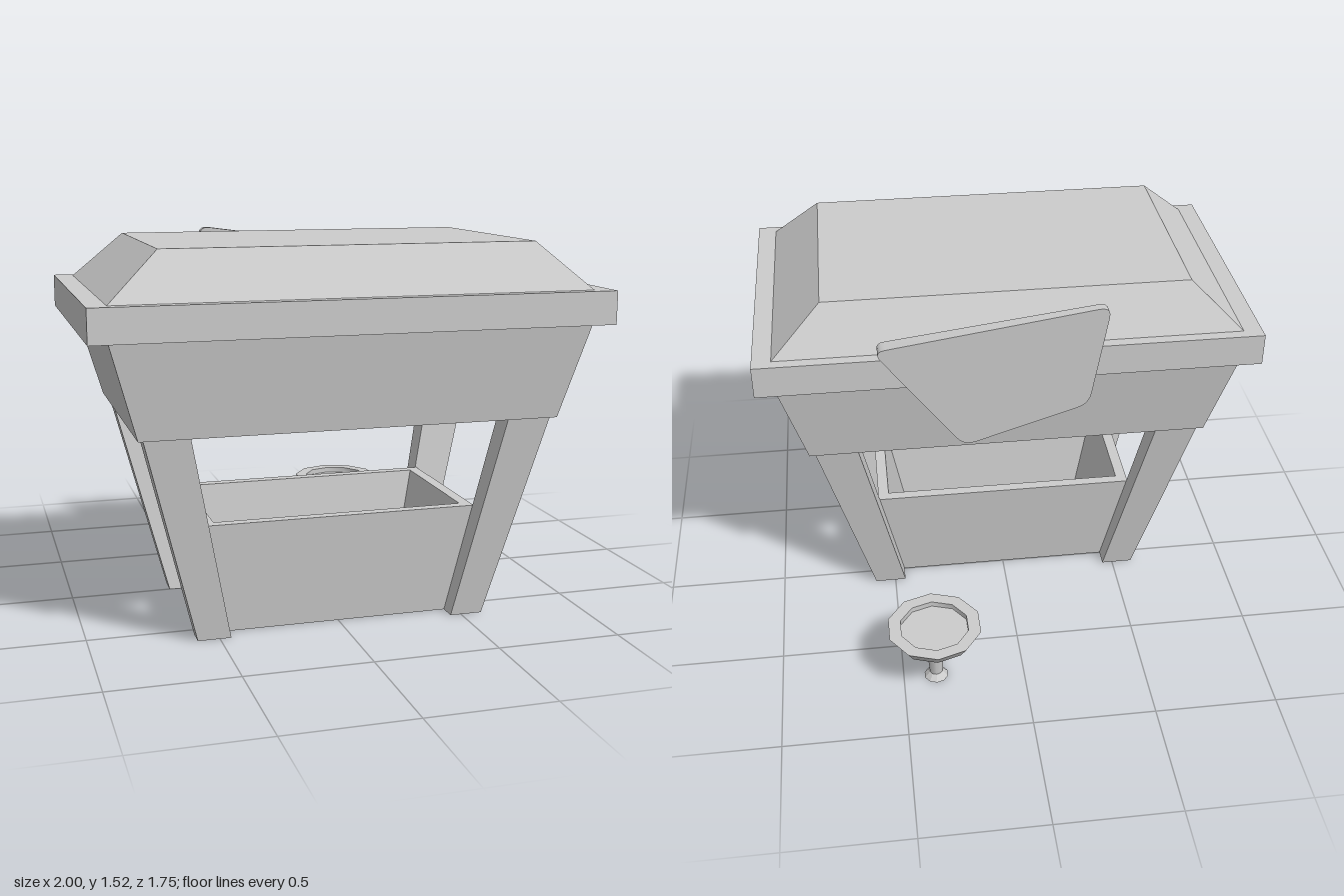
import * as THREE from 'three';
import { toCreasedNormals } from 'three/addons/utils/BufferGeometryUtils.js';

const CENTER_Z = 0.275;
const mat = new THREE.MeshStandardMaterial({ color: 0xcccccc, flatShading: true });
const smooth = new THREE.MeshStandardMaterial({ color: 0xcccccc });

function add(parent, name, geometry, material = mat) {
  const mesh = new THREE.Mesh(geometry, material);
  mesh.name = name;
  parent.add(mesh);
  return mesh;
}

// Skins rectangular sections { x0, x1, z0, z1, y }, listed so that faces point outward going up.
// closed joins the last section to the first (hollow tube); otherwise both ends are capped.
function loft(sections, closed = false) {
  const rings = sections.map(({ x0, x1, z0, z1, y }) => [
    [x0, y, z1], [x1, y, z1], [x1, y, z0], [x0, y, z0],
  ]);
  const pos = [];
  const quad = (a, b, c, d) => pos.push(...a, ...b, ...c, ...a, ...c, ...d);
  const n = rings.length;
  for (let i = 0; i < (closed ? n : n - 1); i++) {
    const lo = rings[i], hi = rings[(i + 1) % n];
    for (let k = 0; k < 4; k++) {
      const m = (k + 1) % 4;
      quad(lo[k], lo[m], hi[m], hi[k]);
    }
  }
  if (!closed) {
    const [a, b, c, d] = rings[0];
    quad(d, c, b, a);
    quad(...rings[n - 1]);
  }
  const g = new THREE.BufferGeometry();
  g.setAttribute('position', new THREE.Float32BufferAttribute(pos, 3));
  g.computeVertexNormals();
  return g;
}

// Section centred on the booth axis
const rect = (hx, hz, y) => ({ x0: -hx, x1: hx, z0: -hz, z1: hz, y });

// Rounded-corner polygon
function roundedShape(points, r) {
  const v = points.map(([x, y]) => new THREE.Vector2(x, y));
  const toward = (a, b) => a.clone().add(b.clone().sub(a).setLength(r));
  const shape = new THREE.Shape();
  v.forEach((p, i) => {
    const start = toward(p, v[(i + v.length - 1) % v.length]);
    const end = toward(p, v[(i + 1) % v.length]);
    if (i === 0) shape.moveTo(start.x, start.y);
    else shape.lineTo(start.x, start.y);
    shape.quadraticCurveTo(p.x, p.y, end.x, end.y);
  });
  shape.closePath();
  return shape;
}

export function createModel() {
  const model = new THREE.Group();
  model.name = 'marketBooth';

  const booth = new THREE.Group();
  booth.name = 'booth';
  booth.position.z = CENTER_Z;
  model.add(booth);

  // Roof: a slab frame carrying a hollow bevelled crown
  add(booth, 'roofSlab', loft([
    rect(1, 0.6, 1.2), rect(1, 0.6, 1.33), rect(0.89, 0.52, 1.33), rect(0.89, 0.52, 1.2),
  ], true));
  add(booth, 'roofCrown', loft([
    rect(0.705, 0.425, 1.5), rect(0.89, 0.52, 1.33), rect(0.925, 0.555, 1.33), rect(0.727, 0.443, 1.512),
  ]));

  // Hollow flared skirt under the roof
  add(booth, 'roofSkirt', loft([
    rect(0.82, 0.493, 0.83), rect(0.925, 0.555, 1.2),
    rect(0.895, 0.525, 1.2), rect(0.79, 0.463, 0.83),
  ], true));

  // Open counter of four leaning panels, set flush with the inner leg faces
  add(booth, 'counter', loft([
    rect(0.46, 0.274, 0), rect(0.552, 0.327, 0.45),
    rect(0.507, 0.284, 0.45), rect(0.415, 0.231, 0),
  ], true));

  // Four splayed legs, widening upward into the skirt
  for (const sx of [-1, 1]) {
    for (const sz of [-1, 1]) {
      const section = (xi, xo, zi, zo, y) => ({
        x0: Math.min(sx * xi, sx * xo), x1: Math.max(sx * xi, sx * xo),
        z0: Math.min(sz * zi, sz * zo), z1: Math.max(sz * zi, sz * zo), y,
      });
      add(booth, (sz > 0 ? 'front' : 'back') + (sx > 0 ? 'Left' : 'Right') + 'Leg', loft([
        section(0.455, 0.587, 0.272, 0.347, 0),
        section(0.7, 0.895, 0.417, 0.53, 1.2),
      ]));
    }
  }

  // Crooked sign board on the back, thickest at its pointed end
  const outline = roundedShape([[0.54, 1.4], [0.2, 0.93], [-0.3, 1.085], [-0.372, 1.525]], 0.05);
  const board = new THREE.ExtrudeGeometry(outline, { depth: 1, bevelEnabled: false, curveSegments: 5 });
  const p = board.attributes.position;
  for (let i = 0; i < p.count; i++) {
    const thick = 0.065 + 0.039 * (p.getX(i) - 0.52) + 0.051 * (p.getY(i) - 1.4);
    p.setZ(i, (p.getZ(i) - 0.5) * Math.max(thick, 0.018));
  }
  add(model, 'signBoard', toCreasedNormals(board, 0.6), smooth).position.z = -0.345;

  // Ten-sided stool behind the booth
  const stool = new THREE.Group();
  stool.name = 'stool';
  stool.position.set(0.365, 0, -0.683);
  model.add(stool);
  const seat = [[0, 0.225], [0.161, 0.225], [0.194, 0.275], [0.142, 0.275], [0.142, 0.252], [0, 0.252]];
  const seatGeometry = new THREE.LatheGeometry(seat.map(([r, y]) => new THREE.Vector2(r, y)), 10);
  add(stool, 'stoolSeat', toCreasedNormals(seatGeometry, 0.7), smooth);
  const stem = add(stool, 'stoolStem', new THREE.CylinderGeometry(0.043, 0.027, 0.205, 10, 1, true), smooth);
  stem.position.y = 0.125;
  const foot = add(stool, 'stoolFoot', new THREE.CylinderGeometry(0.027, 0.05, 0.025, 10));
  foot.position.y = 0.0125;

  return model;
}
